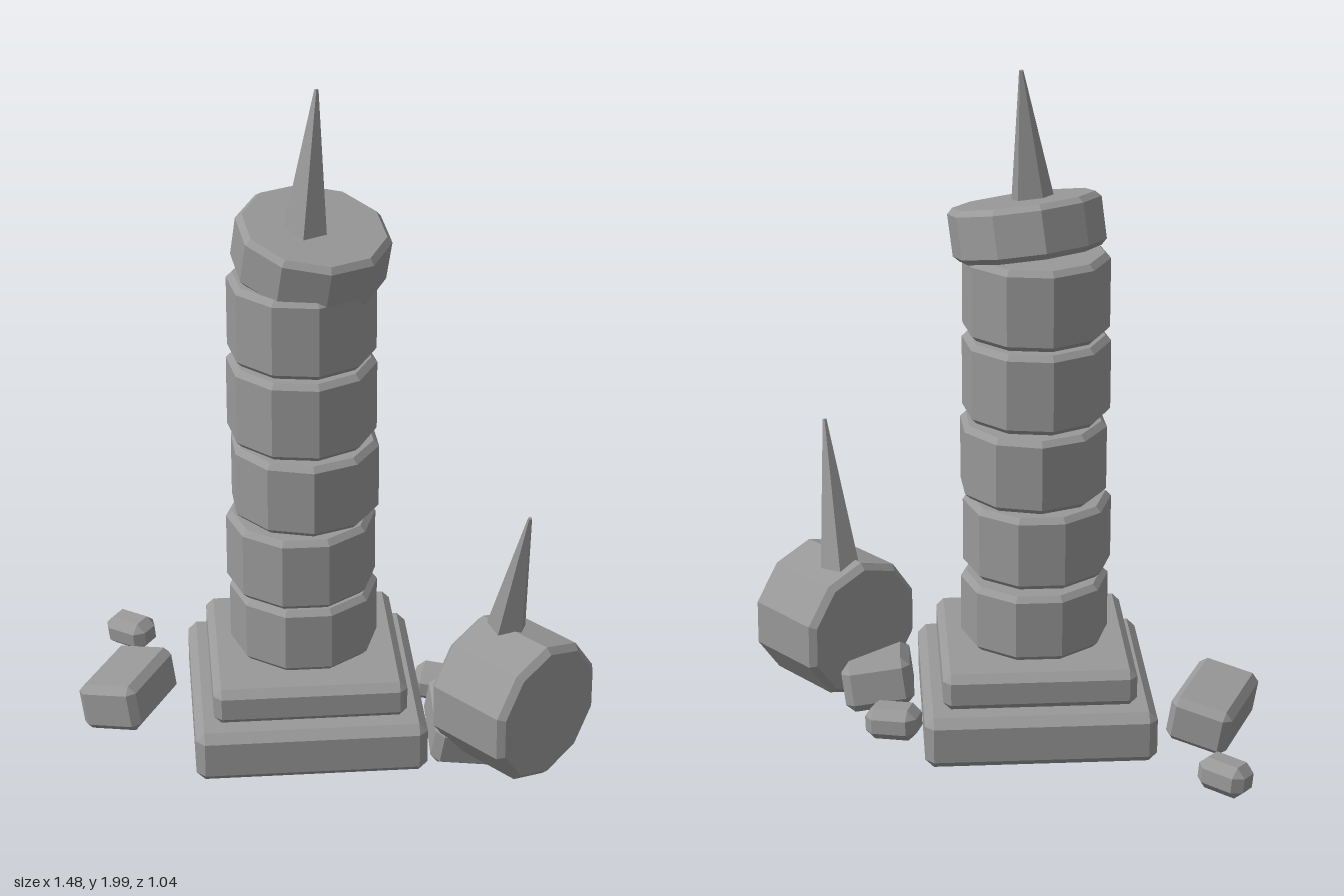
import * as THREE from 'three';
import { ConvexGeometry } from 'three/addons/geometries/ConvexGeometry.js';

const UP = new THREE.Vector3(0, 1, 0);

export function createModel() {
  const model = new THREE.Group();
  model.name = 'ruinedPillar';
  const stone = new THREE.MeshStandardMaterial({ color: 0x999999, flatShading: true });
  stone.name = 'grey stone';

  function add(name, geometry, position) {
    const flat = geometry.index ? geometry.toNonIndexed() : geometry;
    flat.computeVertexNormals();
    const mesh = new THREE.Mesh(flat, stone);
    mesh.name = name;
    mesh.position.set(...position);
    model.add(mesh);
    return mesh;
  }

  // Box with every edge and corner cut off
  function block(name, [w, h, d], position, bevel, rotation = [0, 0, 0]) {
    const points = [];
    for (const x of [-1, 1]) for (const y of [-1, 1]) for (const z of [-1, 1]) {
      for (let face = 0; face < 3; face++) {
        const inset = [0, 1, 2].map(axis => (axis === face ? 0 : bevel));
        points.push(new THREE.Vector3(
          x * (w / 2 - inset[0]), y * (h / 2 - inset[1]), z * (d / 2 - inset[2])));
      }
    }
    const mesh = add(name, new ConvexGeometry(points), position);
    mesh.rotation.set(...rotation, 'YXZ');
  }

  // Ten-sided drum with bevelled rims, its axis turned to a direction
  function drum(name, radius, height, position, turn, axis = UP, bevel = 0.016) {
    const h = height / 2;
    const profile = [
      [0, -h], [radius - bevel, -h], [radius, bevel - h],
      [radius, h - bevel], [radius - bevel, h], [0, h],
    ].map(([x, y]) => new THREE.Vector2(x, y));
    const mesh = add(name, new THREE.LatheGeometry(profile, 10).rotateY(turn), position);
    mesh.quaternion.setFromUnitVectors(UP, axis.clone().normalize());
  }

  // Five-sided spike running from its base to its tip
  function spike(name, base, tip, radius, turn) {
    const from = new THREE.Vector3(...base);
    const along = new THREE.Vector3(...tip).sub(from);
    const length = along.length();
    const geometry = new THREE.CylinderGeometry(0.006, radius, length, 5)
      .translate(0, length / 2, 0).rotateY(turn);
    add(name, geometry, base).quaternion.setFromUnitVectors(UP, along.normalize());
  }

  // Stepped plinth
  block('lowerPlinth', [0.665, 0.155, 0.665], [-0.077, 0.122, 0.018], 0.025);
  block('upperPlinth', [0.555, 0.11, 0.555], [-0.077, 0.255, 0.018], 0.022);

  // Slightly shifted shaft drums: bottom, top, x, z, radius, turn
  [
    [0.32, 0.52, -0.077, 0.012, 0.214, 0.31],
    [0.535, 0.755, -0.085, 0.028, 0.214, 0.31],
    [0.77, 0.99, -0.073, 0.027, 0.213, 0.05],
    [1.005, 1.24, -0.081, 0.028, 0.211, 0.16],
    [1.25, 1.483, -0.08, 0.026, 0.208, 0.16],
  ].forEach(([bottom, top, x, z, radius, turn], i) =>
    drum('shaftDrum' + (i + 1), radius, top - bottom, [x, (bottom + top) / 2, z], turn));

  // Leaning cap and its spike
  drum('leaningCap', 0.216, 0.15, [-0.053, 1.555, 0.021], 0.16, new THREE.Vector3(0.12, 1, 0.2));
  spike('topSpike', [-0.073, 1.59, 0.053], [-0.035, 2, -0.003], 0.067, -1.4);

  // Fallen drum lying on its side, with its spike
  drum('fallenDrum', 0.213, 0.277, [0.505, 0.257, 0.284], 0.08, new THREE.Vector3(0.64, 0, 0.77), 0.018);
  spike('fallenSpike', [0.486, 0.43, 0.23], [0.523, 0.87, 0.35], 0.062, Math.PI);

  // Rubble
  block('brokenBlockRight', [0.187, 0.145, 0.295], [-0.597, 0.106, -0.083], 0.022, [-0.04, -0.455, 0.17]);
  block('brokenBlockLeft', [0.205, 0.145, 0.255], [0.381, 0.105, 0.178], 0.025, [0.18, -0.02, -0.13]);
  block('smallStoneLeft', [0.155, 0.095, 0.112], [0.34, 0.083, -0.073], 0.026, [0.05, -0.31, -0.05]);
  block('smallStoneBack', [0.148, 0.095, 0.102], [-0.583, 0.082, -0.455], 0.026, [0.08, -0.67, 0.05]);

  return model;
}
